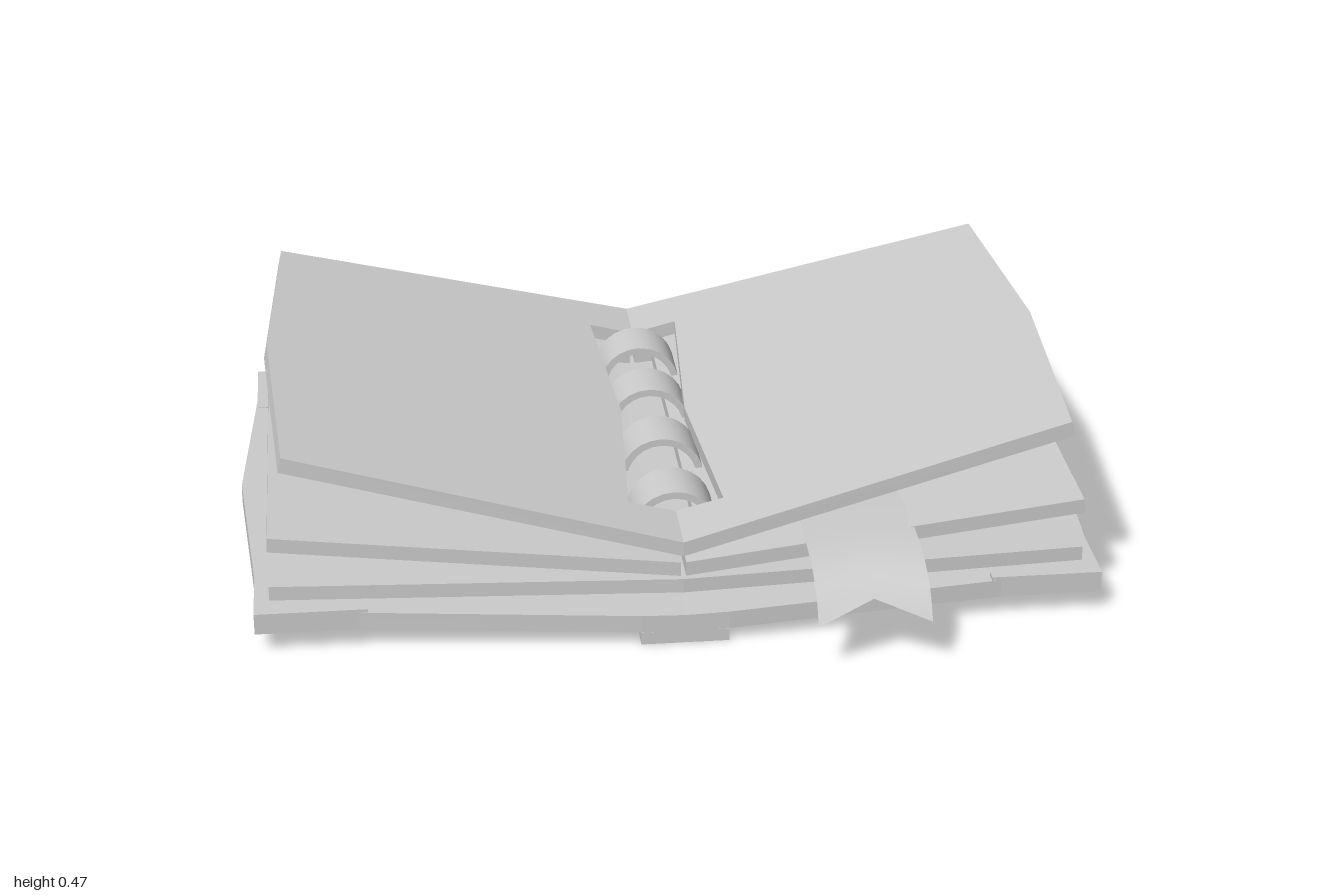
import * as THREE from 'three';
import { toCreasedNormals } from 'three/addons/utils/BufferGeometryUtils.js';

const MID_Z = -0.0925; // centre line of the book in z

export function createModel() {
  const book = new THREE.Group();
  book.name = 'openBook';
  const grey = new THREE.MeshStandardMaterial({ color: 0xcccccc });
  const sheetGrey = new THREE.MeshStandardMaterial({ color: 0xcccccc, side: THREE.DoubleSide });

  const add = (name, geometry, x = 0, y = 0, z = 0, material = grey) => {
    const mesh = new THREE.Mesh(geometry, material);
    mesh.name = name;
    mesh.position.set(x, y, z);
    book.add(mesh);
  };

  // Slab from an outline [x, z], tilted upwards away from the spine
  const slab = (name, side, outline, y, thickness, slope = 0) => {
    const shape = new THREE.Shape(outline.map(([x, z]) => new THREE.Vector2(side * x, -z)));
    const geometry = new THREE.ExtrudeGeometry(shape, { depth: thickness, bevelEnabled: false });
    geometry.rotateX(-Math.PI / 2);
    const p = geometry.attributes.position;
    for (let i = 0; i < p.count; i++) {
      const x = p.getX(i), t = p.getY(i);
      p.setX(i, x * (1 - slope * t));
      p.setY(i, t + slope * Math.abs(x));
    }
    geometry.computeVertexNormals();
    add(name, geometry, 0, y, MID_Z);
  };

  // Half page, with bulging fore edge and a slot along the spine
  const page = (inner, corner, bulge, slotEnd, slotMid) => [
    [inner, 0.6625], [corner, 0.6025], [bulge, 0], [corner, -0.6025], [inner, -0.6625],
    [inner, -0.505], [slotEnd, -0.505], [slotMid, 0], [slotEnd, 0.505], [inner, 0.505],
  ];
  const coverOutline = [
    [0, 0.705], [0.1, 0.705], [0.955, 0.64], [1, 0], [0.955, -0.64], [0.1, -0.705], [0, -0.705],
  ];
  const flatOutline = [[0, 0.6625], [0.93, 0.6025], [0.93, -0.6025], [0, -0.6625]];

  for (const side of [1, -1]) {
    const label = side > 0 ? 'left' : 'right';
    slab(label + 'Cover', side, coverOutline, 0.028, 0.042, 0.03);
    slab(label + 'BottomPages', side, flatOutline, 0.105, 0.034);
    slab(label + 'MiddlePages', side, page(0.006, 0.93, 0.93, 0.05, 0.05), 0.147, 0.034, 0.086);
    slab(label + 'TopPages', side, page(0, 0.895, 0.928, 0.11, 0.078), 0.197, 0.035, 0.253);

    // Triangular corner guards
    for (const end of [1, -1]) {
      slab(label + (end > 0 ? 'Front' : 'Back') + 'CornerGuard', side,
        [[0.71, end * 0.657], [0.965, end * 0.657], [0.965, end * 0.435], [0.94, end * 0.435], [0.71, end * 0.63]],
        0.05, 0.05);
    }
  }

  // Spine
  add('spine', new THREE.BoxGeometry(0.2, 0.03, 1.41), 0, 0.015, MID_Z);

  // Binding rings
  const ringProfile = [[0.083, -0.065], [0.1, -0.065], [0.1, 0.065], [0.083, 0.065], [0.083, -0.065]];
  const ring = toCreasedNormals(
    new THREE.LatheGeometry(ringProfile.map(([r, h]) => new THREE.Vector2(r, h)), 24), 0.6);
  ring.rotateX(Math.PI / 2);
  [-0.485, -0.235, 0.045, 0.325].forEach((z, i) => add('bindingRing' + (i + 1), ring, 0, 0.168, z));

  // Ribbon bookmark: a thin drooping sheet with a notched end
  const path = new THREE.CatmullRomCurve3([
    [0.3, 0.226], [0.5, 0.226], [0.6, 0.222], [0.69, 0.205], [0.755, 0.168], [0.79, 0.12],
  ].map(([z, y]) => new THREE.Vector3(0, y, z)));
  const ribbon = new THREE.PlaneGeometry(0.255, 1, 2, 20);
  const p = ribbon.attributes.position;
  for (let i = 0; i < p.count; i++) {
    const along = 0.5 - p.getY(i);
    const notch = Math.abs(p.getX(i)) < 0.01 ? 0.89 : 1;
    const q = path.getPointAt(along * notch);
    p.setXYZ(i, p.getX(i), q.y, q.z);
  }
  ribbon.computeVertexNormals();
  add('ribbonBookmark', ribbon, 0.4025, 0, 0, sheetGrey);

  return book;
}
